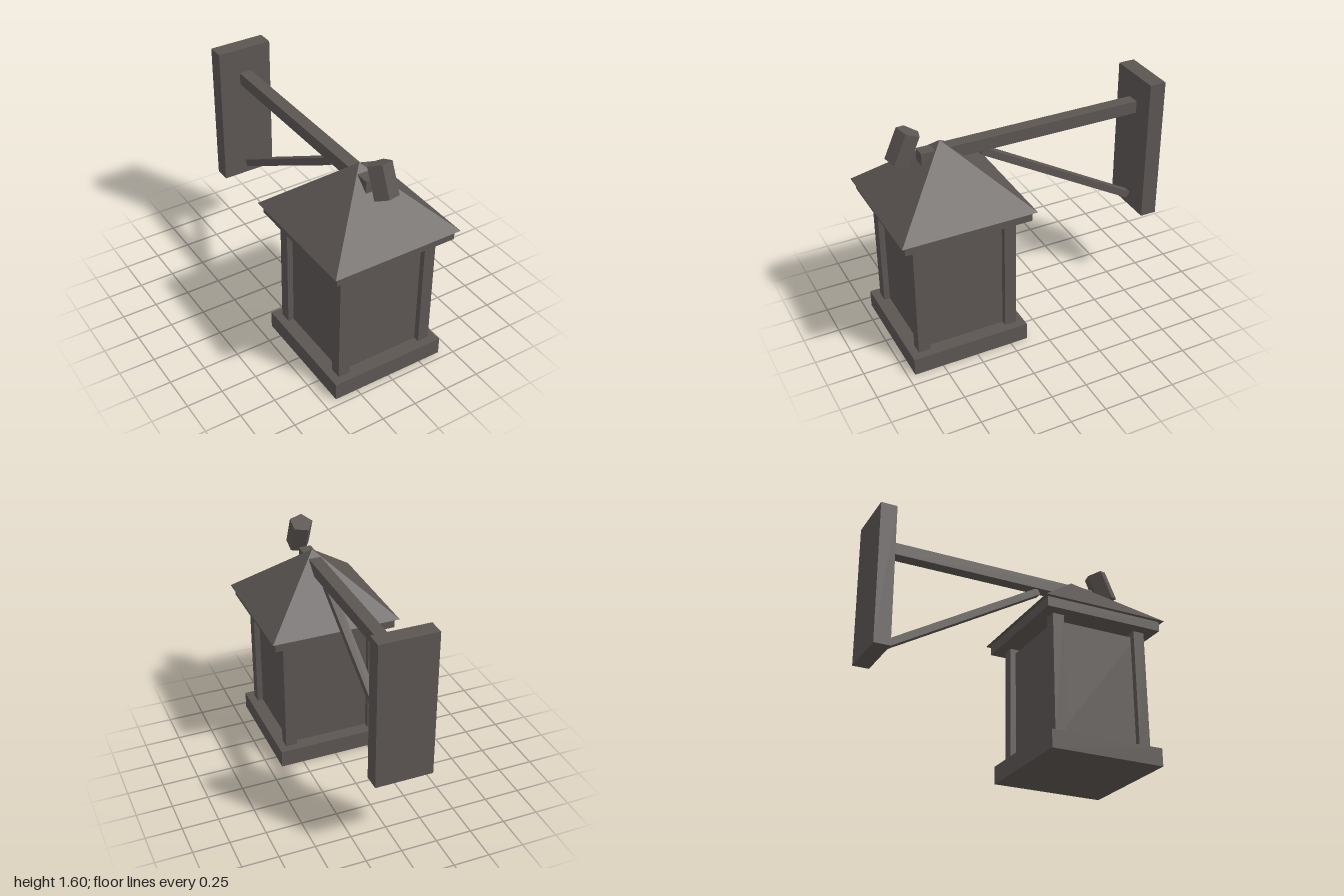
import * as THREE from 'three';

export function createModel() {
  const model = new THREE.Group();
  model.name = 'wallLantern';
  const iron = new THREE.MeshStandardMaterial({ color: 0x5c5653, flatShading: true });
  iron.name = 'darkIron';

  const add = (parent, name, geometry, x, y, z) => {
    const mesh = new THREE.Mesh(geometry, iron);
    mesh.name = name;
    mesh.position.set(x, y, z);
    parent.add(mesh);
    return mesh;
  };
  // Box on the centre line, given its bottom, height and depth centre
  const box = (parent, name, w, h, d, x, bottom, z) =>
    add(parent, name, new THREE.BoxGeometry(w, h, d), x, bottom + h / 2, z);

  // Lantern body, built around its own vertical axis
  const lantern = new THREE.Group();
  lantern.name = 'lantern';
  lantern.position.z = 0.54;
  model.add(lantern);
  box(lantern, 'base', 0.822, 0.125, 0.822, 0, 0, 0);
  box(lantern, 'panes', 0.63, 0.82, 0.63, 0, 0.125, 0);
  for (const sx of [-1, 1]) {
    for (const sz of [-1, 1]) {
      box(lantern, 'cornerPost', 0.082, 0.85, 0.082, sx * 0.315, 0.125, sz * 0.315);
    }
  }
  box(lantern, 'eave', 0.868, 0.07, 0.868, 0, 0.975, 0);

  // Four-sided pyramid roof, sides parallel to the axes
  const roof = new THREE.ConeGeometry(0.46 * Math.SQRT2, 0.41, 4, 1, false, Math.PI / 4);
  add(lantern, 'roof', roof, 0, 1.25, 0);

  // Tilted five-sided cap over the tip of the arm
  const cap = new THREE.CylinderGeometry(0.083, 0.083, 0.217, 5, 1, false, -Math.PI / 2);
  add(model, 'tiltedCap', cap, 0, 1.468, 0.785).rotation.x = -0.415;

  // Wall bracket
  box(model, 'wallPlate', 0.395, 1.02, 0.115, 0, 0.575, -0.9425);
  box(model, 'arm', 0.088, 0.087, 1.575, 0, 1.324, -0.1025);
  const brace = box(model, 'brace', 0.056, 0.05, 1.309, 0, 0.96, -0.31);
  brace.rotation.x = -Math.PI / 6;

  return model;
}
